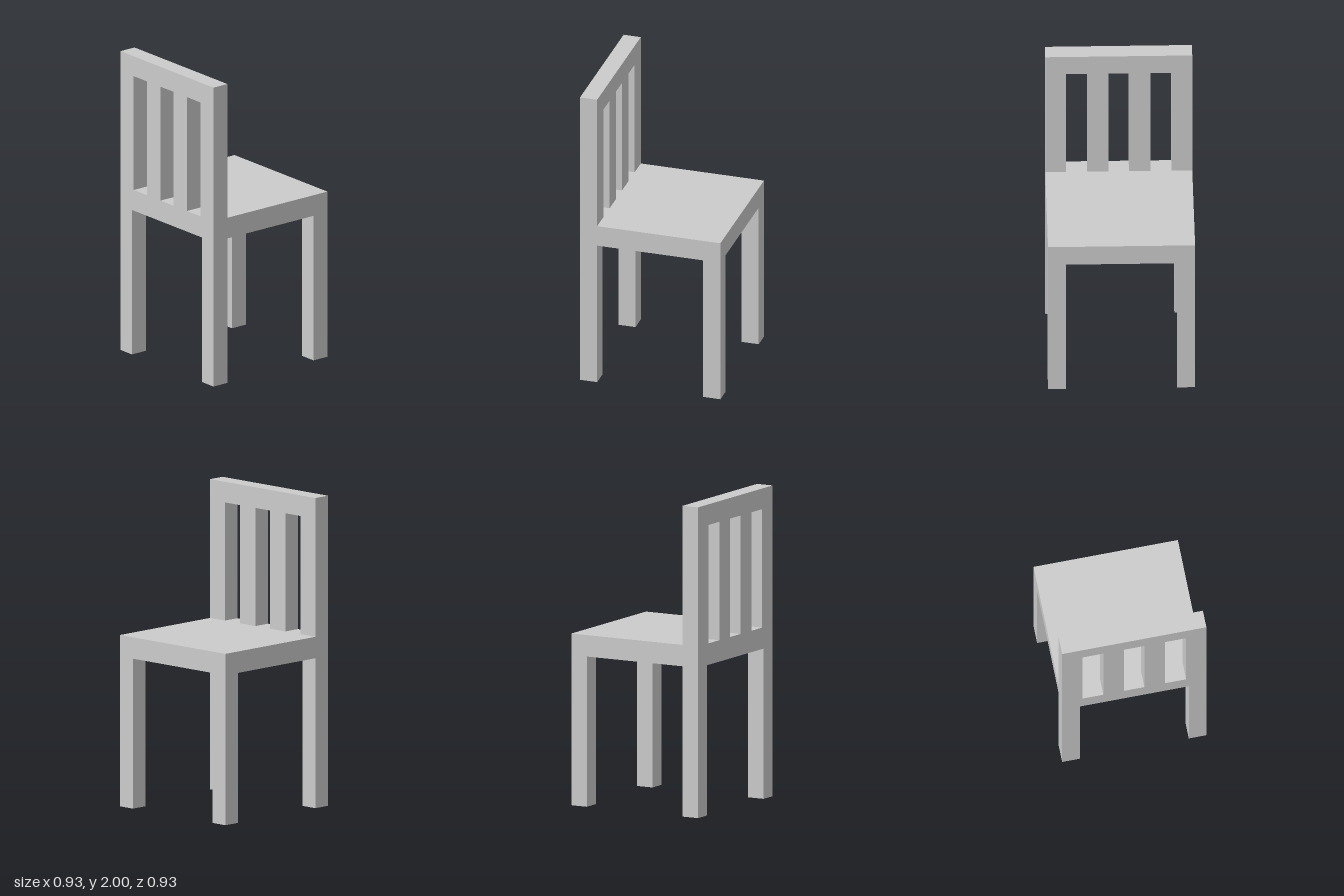
import * as THREE from 'three';

const HALF = 0.466;       // half the width and depth of the seat
const POST = 0.114;       // leg and backrest thickness
const SEAT_BOTTOM = 0.967;
const SEAT_TOP = 1.105;
const RAIL_BOTTOM = 1.867;
const TOP = 2;

export function createModel() {
  const chair = new THREE.Group();
  chair.name = 'chair';
  const material = new THREE.MeshStandardMaterial({ color: 0xcccccc, flatShading: true });

  const add = (name, geometry, x, y, z) => {
    const mesh = new THREE.Mesh(geometry, material);
    mesh.name = name;
    mesh.position.set(x, y, z);
    chair.add(mesh);
    return mesh;
  };

  // Seat slab
  add('seat', new THREE.BoxGeometry(2 * HALF, SEAT_TOP - SEAT_BOTTOM, 2 * HALF),
    0, (SEAT_TOP + SEAT_BOTTOM) / 2, 0);

  // Four square legs, flush with the seat corners
  const legGeometry = new THREE.BoxGeometry(POST, SEAT_BOTTOM, POST);
  const legOffset = HALF - POST / 2;
  for (const x of [-1, 1]) {
    for (const z of [-1, 1]) {
      add(x < 0 ? 'backrestLeg' : 'seatLeg', legGeometry, x * legOffset, SEAT_BOTTOM / 2, z * legOffset);
    }
  }

  // Backrest: one board with three slots running down to the seat
  const outline = new THREE.Shape();
  outline.moveTo(-HALF, SEAT_TOP);
  for (const [a, b] of [[-0.335, -0.2], [-0.065, 0.065], [0.2, 0.335]]) {
    outline.lineTo(a, SEAT_TOP);
    outline.lineTo(a, RAIL_BOTTOM);
    outline.lineTo(b, RAIL_BOTTOM);
    outline.lineTo(b, SEAT_TOP);
  }
  outline.lineTo(HALF, SEAT_TOP);
  outline.lineTo(HALF, TOP);
  outline.lineTo(-HALF, TOP);
  outline.closePath();
  const board = new THREE.ExtrudeGeometry(outline, { depth: POST, bevelEnabled: false });
  add('backrest', board, -HALF, 0, 0).rotation.y = Math.PI / 2;

  return chair;
}
